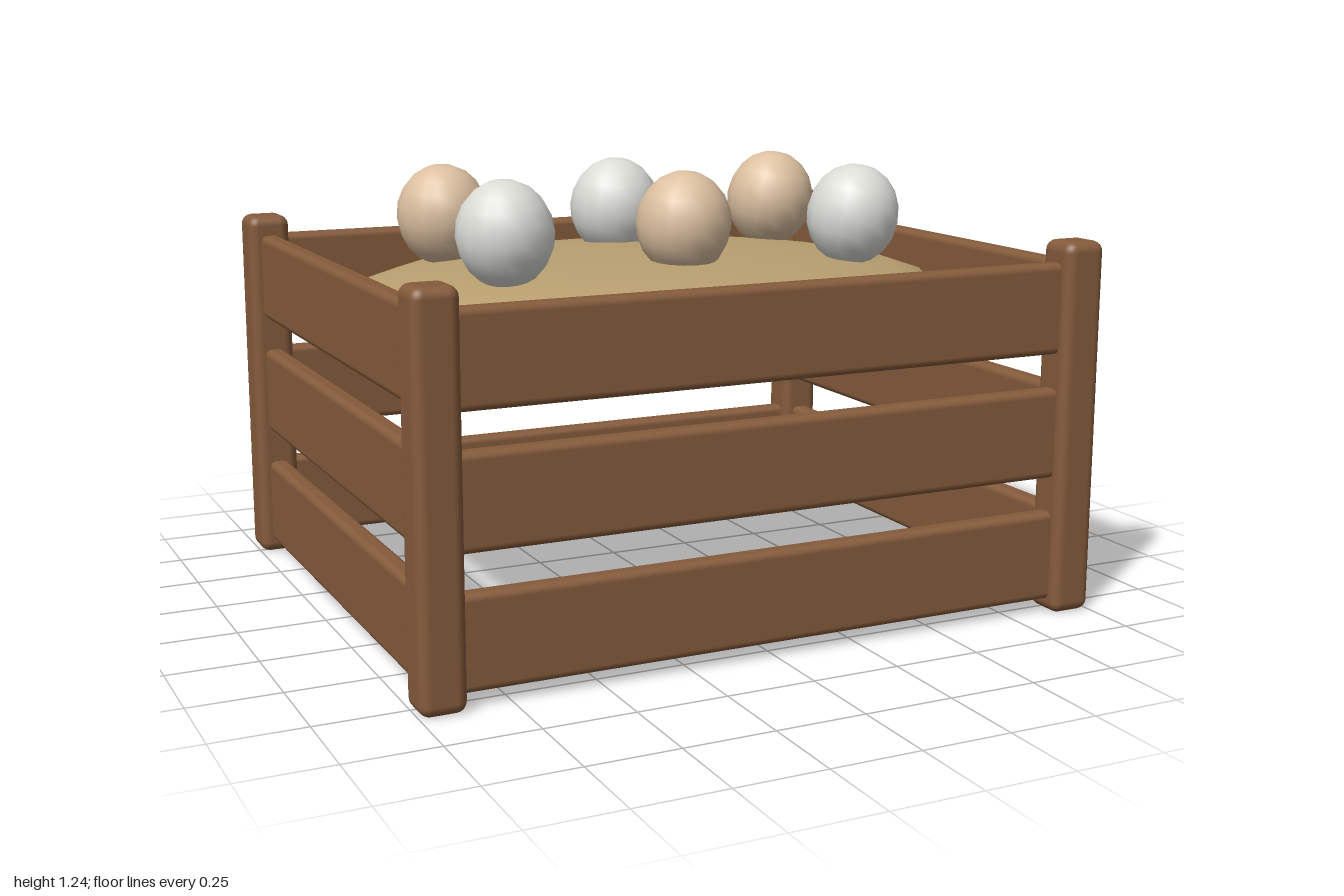
import * as THREE from 'three';
import { RoundedBoxGeometry } from 'three/addons/geometries/RoundedBoxGeometry.js';

const material = (name, color) => {
  const m = new THREE.MeshStandardMaterial({ color });
  m.name = name;
  return m;
};

export function createModel() {
  const wood = material('wood', 0x855b3c);
  const straw = material('straw', 0xb89f70);
  const paleShell = material('paleShell', 0xdcdcd7);
  const tanShell = material('tanShell', 0xdcc0a0);

  const model = new THREE.Group();
  model.name = 'eggCrate';

  const add = (name, geometry, mat, x, y, z) => {
    const mesh = new THREE.Mesh(geometry, mat);
    mesh.name = name;
    mesh.position.set(x, y, z);
    model.add(mesh);
    return mesh;
  };

  // Corner posts
  const postGeometry = new RoundedBoxGeometry(0.125, 1.06, 0.125, 3, 0.03);
  for (const x of [-0.9375, 0.9375]) {
    for (const z of [-0.7775, 0.7775]) add('cornerPost', postGeometry, wood, x, 0.53, z);
  }

  // Three slats on each side
  const longSlat = new RoundedBoxGeometry(1.8, 0.255, 0.06, 3, 0.02);
  const shortSlat = new RoundedBoxGeometry(0.06, 0.255, 1.48, 3, 0.02);
  for (const y of [0.165, 0.52, 0.873]) {
    for (const side of [-1, 1]) {
      add(side > 0 ? 'frontSlat' : 'backSlat', longSlat, wood, 0, y, side * 0.778);
      add(side > 0 ? 'leftSlat' : 'rightSlat', shortSlat, wood, side * 0.935, y, 0);
    }
  }

  // Straw bed and the flattened mound on it
  add('strawBed', new THREE.BoxGeometry(1.82, 0.07, 1.51), straw, 0, 0.8, 0);
  add('strawMound', new THREE.SphereGeometry(1, 24, 12), straw, 0, 0.88, 0)
    .scale.set(0.885, 0.12, 0.722);

  // Two rows of eggs in alternating colours
  const eggGeometry = new THREE.SphereGeometry(0.135, 16, 10);
  eggGeometry.scale(1, 1.1, 1);
  [-1, 0, 1].forEach((column) => {
    for (const row of [-1, 1]) {
      const isPale = (column !== 0) === (row > 0);
      const z = row > 0 ? (column ? 0.253 : 0.237) : (column ? -0.247 : -0.233);
      const egg = add('egg', eggGeometry, isPale ? paleShell : tanShell, column * 0.542, 1.095, z);
      egg.rotation.set(0.15, 0, -column * 0.12);
    }
  });

  return model;
}
